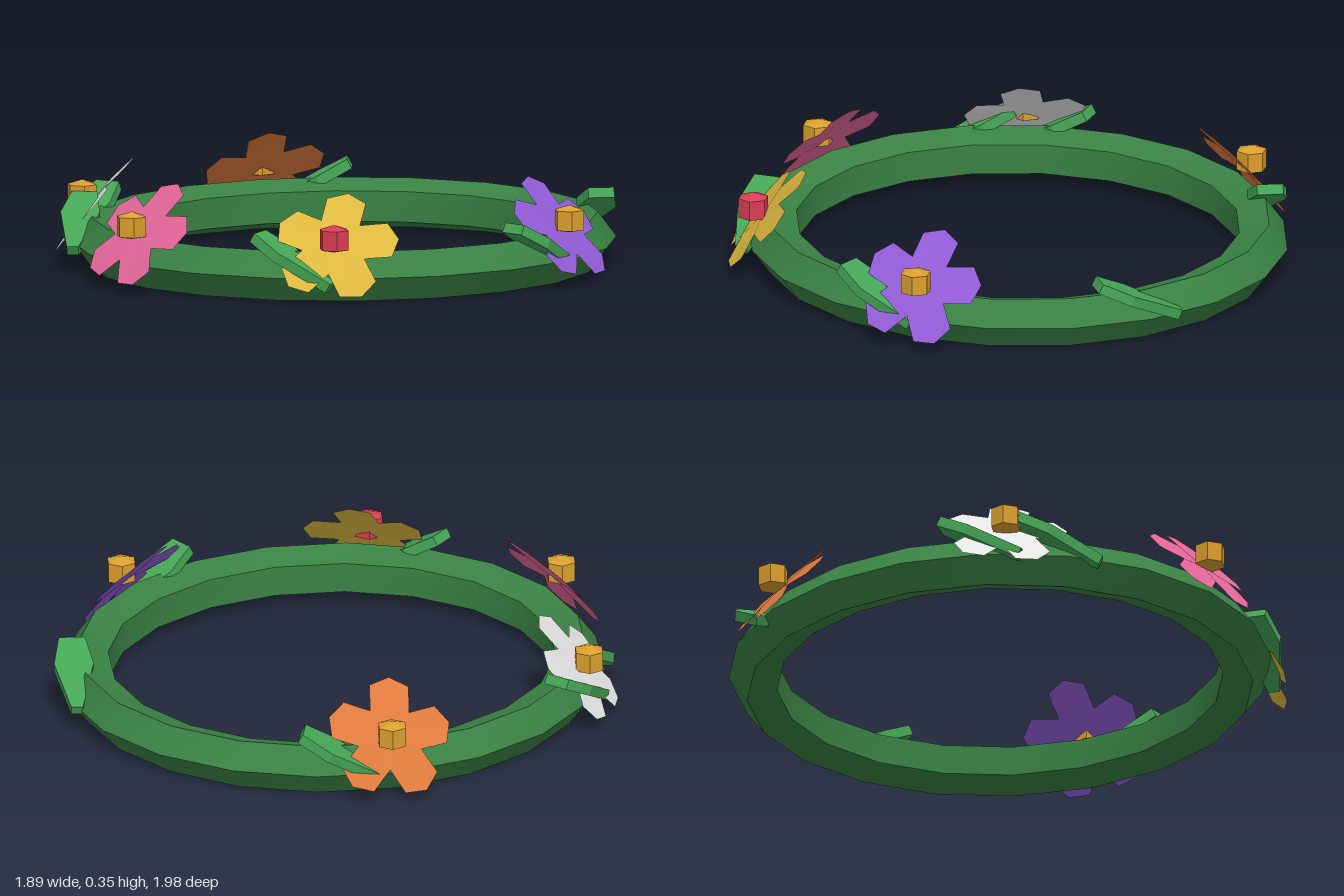
import * as THREE from 'three';
import { toCreasedNormals } from 'three/addons/utils/BufferGeometryUtils.js';

const mat = (name, color, side = THREE.FrontSide) => {
  const m = new THREE.MeshStandardMaterial({ color, side });
  m.name = name;
  return m;
};

// Five blunt petals as a fan around the centre, tips bent back a little
function petalGeometry() {
  const pos = [0, 0, 0], idx = [];
  const add = (r, deg, z) => {
    const a = THREE.MathUtils.degToRad(deg);
    pos.push(r * Math.cos(a), r * Math.sin(a), z);
  };
  for (let i = 0; i < 5; i++) {
    const a = 10 + i * 72;
    add(0.115, a - 36, 0);
    add(0.2, a - 20, -0.01);
    add(0.22, a, -0.012);
    add(0.2, a + 20, -0.01);
  }
  for (let i = 0; i < 20; i++) idx.push(0, 1 + i, 1 + (i + 1) % 20);
  const g = new THREE.BufferGeometry();
  g.setAttribute('position', new THREE.Float32BufferAttribute(pos, 3));
  g.setIndex(idx);
  g.computeVertexNormals();
  return g;
}

// Thick leaf outline along -y: blunt at the stem end, narrow at the tip
function leafGeometry() {
  const s = new THREE.Shape([
    [-0.045, 0], [-0.068, -0.12], [-0.02, -0.32], [0.02, -0.32], [0.068, -0.12], [0.045, 0],
  ].map(([x, y]) => new THREE.Vector2(x, y)));
  const g = new THREE.ExtrudeGeometry(s, { depth: 0.036, bevelEnabled: false });
  g.translate(0, 0, -0.018);
  return g;
}

export function createModel() {
  const root = new THREE.Group();
  const green = mat('vineGreen', 0x3a8244);
  const leafGreen = mat('leafGreen', 0x46a657);
  const gold = mat('gold', 0xdc9f2e);
  const red = mat('red', 0xdb3d55);

  // Oval band with a five-sided cross-section
  const torus = new THREE.TorusGeometry(0.82, 0.09, 5, 20);
  torus.rotateX(Math.PI / 2);
  torus.scale(1, 1, 1.04);
  const band = new THREE.Mesh(toCreasedNormals(torus, 0.7), green);
  band.name = 'band';
  band.position.set(0, 0.086, -0.055);
  root.add(band);

  // Flowers: core position, outward yaw direction, colours
  const petals = petalGeometry();
  const coreGeo = toCreasedNormals(new THREE.LatheGeometry([
    [0, -0.045], [0.053, -0.035], [0.053, 0.033], [0, 0.05],
  ].map(([x, y]) => new THREE.Vector2(x, y)), 6), 0.2);
  const up = new THREE.Vector3(0, 1, 0);
  const flowers = [
    ['pink', 0xe5679b, 0, 0.89, 0, 1, gold],
    ['yellow', 0xdfba40, 0.68, 0.55, 0.71, 0.71, red],
    ['white', 0xe6e6e6, -0.68, 0.55, -0.71, 0.71, gold],
    ['purple', 0x935cd8, 0.835, -0.365, 0.935, -0.35, gold],
    ['orange', 0xde7a3e, -0.835, -0.365, -0.935, -0.35, gold],
  ];
  for (const [name, color, x, z, dx, dz, coreMat] of flowers) {
    const flower = new THREE.Group();
    flower.name = name + 'Flower';
    flower.position.set(x, 0.222, z);
    const n = new THREE.Vector3(dx * 0.77, 0.64, dz * 0.77).normalize();
    const u = up.clone().cross(n).normalize();
    const v = n.clone().cross(u);
    const bloom = new THREE.Mesh(petals, mat(name, color, THREE.DoubleSide));
    bloom.name = name + 'Petals';
    bloom.quaternion.setFromRotationMatrix(new THREE.Matrix4().makeBasis(u, v, n));
    bloom.position.copy(n).multiplyScalar(-0.043);
    const core = new THREE.Mesh(coreGeo, coreMat);
    core.name = name + 'Core';
    flower.add(bloom, core);
    root.add(flower);
  }

  // Leaves: raised stem end and drooping tip
  const leafGeo = leafGeometry();
  const leaves = [
    [0.43, 0.222, -0.84, 0.18, 0.09, -0.985],
    [-0.66, 0.222, -0.62, -0.83, 0.08, -0.42],
    [0.88, 0.222, -0.08, 0.85, 0.08, -0.34],
    [0.45, 0.222, 0.7, 0.67, 0.08, 0.6],
    [-0.78, 0.222, 0.35, -0.68, 0.08, 0.6],
    [-0.64, 0.222, 0.57, -0.46, 0.08, 0.77],
  ];
  leaves.forEach(([x, y, z, tx, ty, tz], i) => {
    const yAxis = new THREE.Vector3(x - tx, y - ty, z - tz).normalize();
    const xAxis = yAxis.clone().cross(up).normalize();
    const zAxis = xAxis.clone().cross(yAxis);
    const leaf = new THREE.Mesh(leafGeo, leafGreen);
    leaf.name = 'leaf' + (i + 1);
    leaf.quaternion.setFromRotationMatrix(new THREE.Matrix4().makeBasis(xAxis, yAxis, zAxis));
    leaf.position.set(x, y, z);
    root.add(leaf);
  });
  return root;
}
